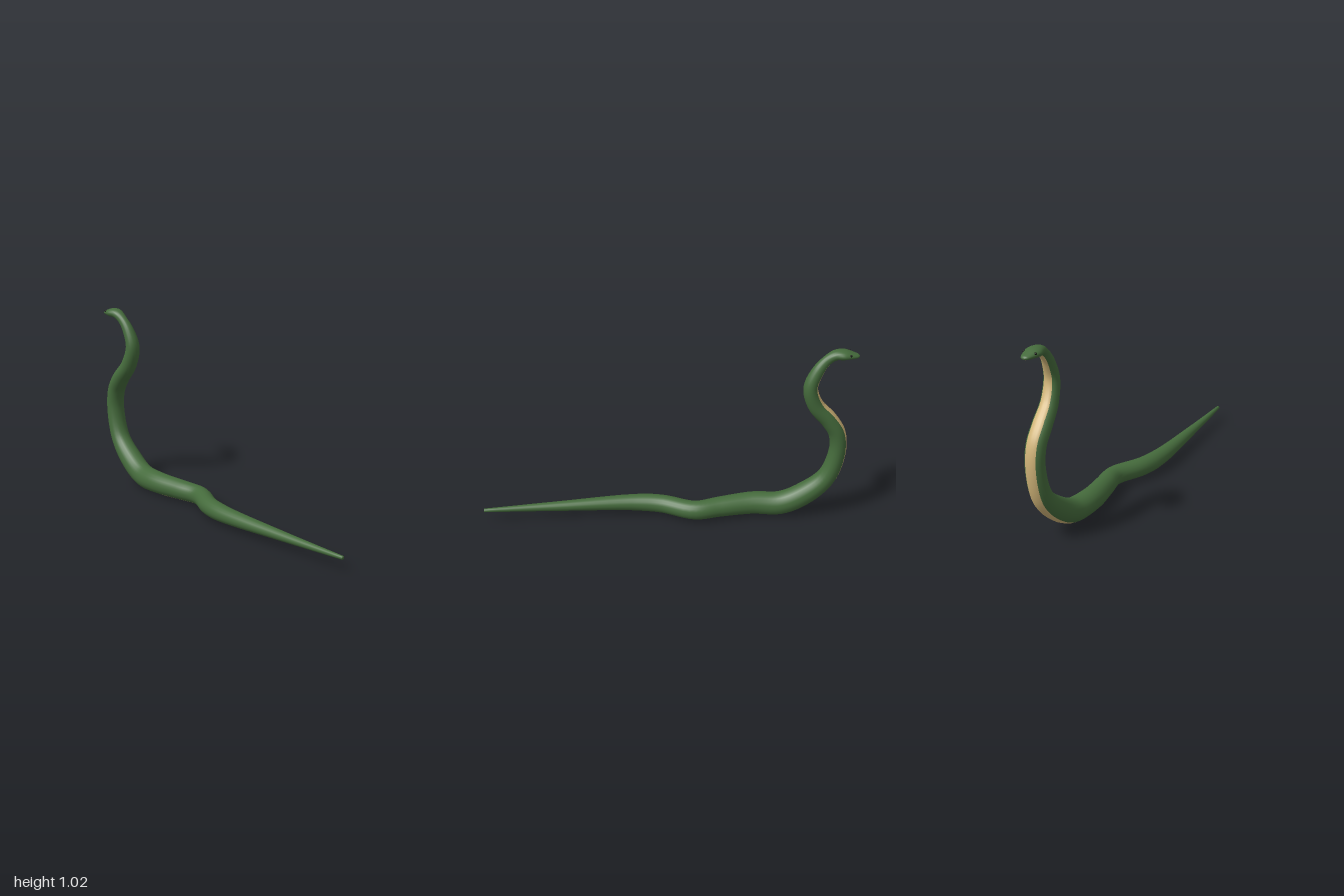
import * as THREE from 'three';

// Stations from tail to snout: centre x, y, z, half width, half height
const STATIONS = [
  [0.025, 0.073, 1.0, 0.01, 0.01],
  [-0.012, 0.07, 0.6, 0.028, 0.026],
  [-0.044, 0.068, 0.17, 0.047, 0.045],
  [-0.028, 0.067, 0.02, 0.05, 0.05],
  [0.037, 0.066, -0.16, 0.052, 0.052],
  [0.01, 0.069, -0.3, 0.056, 0.056],
  [-0.022, 0.071, -0.48, 0.062, 0.062],
  [-0.015, 0.075, -0.64, 0.063, 0.065],
  [-0.012, 0.145, -0.775, 0.062, 0.062],
  [-0.012, 0.25, -0.88, 0.055, 0.052],
  [-0.012, 0.42, -0.927, 0.052, 0.046],
  [-0.012, 0.53, -0.914, 0.052, 0.046],
  [-0.012, 0.61, -0.865, 0.052, 0.046],
  [-0.004, 0.7, -0.79, 0.046, 0.043],
  [0.003, 0.81, -0.755, 0.041, 0.038],
  [-0.003, 0.9, -0.785, 0.033, 0.033],
  [-0.012, 0.96, -0.83, 0.027, 0.027],
  [-0.017, 0.99, -0.875, 0.035, 0.026],
  [-0.018, 0.993, -0.92, 0.045, 0.025],
  [-0.018, 0.988, -0.965, 0.033, 0.016],
  [-0.018, 0.985, -0.99, 0.021, 0.01],
  [-0.018, 0.984, -1.0, 0.008, 0.004],
];
const SIDES = 20;          // around the body; index 0 is the middle of the back
const RINGS = 130;
const BELLY = [8, 12];     // sides from 8 up to 12 form the pale belly strip

export function createModel() {
  const group = new THREE.Group();
  const green = new THREE.MeshStandardMaterial({ color: 0x456b3c });
  const cream = new THREE.MeshStandardMaterial({ color: 0xd0b478 });
  const black = new THREE.MeshStandardMaterial({ color: 0x0c0c0a });

  const spine = new THREE.CatmullRomCurve3(
    STATIONS.map(([x, y, z]) => new THREE.Vector3(x, y, z)));
  const girth = new THREE.CatmullRomCurve3(
    STATIONS.map(([, , , w, h]) => new THREE.Vector3(w, h, 0)), false, 'catmullrom', 0.5);

  // Point on the skin, with a frame whose up side follows the back
  function skinPoint(t, angle) {
    const c = spine.getPoint(t), size = girth.getPoint(t);
    const tangent = spine.getTangent(t);
    const side = new THREE.Vector3(1, 0, 0).addScaledVector(tangent, -tangent.x).normalize();
    const up = side.clone().cross(tangent);
    return c.addScaledVector(side, Math.sin(angle) * size.x)
      .addScaledVector(up, Math.cos(angle) * size.y);
  }

  // Rings of skin; back and belly share the vertices so shading stays smooth
  const positions = [], back = [], belly = [];
  for (let i = 0; i <= RINGS; i++) {
    for (let j = 0; j < SIDES; j++) {
      positions.push(...skinPoint(i / RINGS, (j / SIDES) * Math.PI * 2).toArray());
    }
  }
  for (let i = 0; i < RINGS; i++) {
    for (let j = 0; j < SIDES; j++) {
      const k = (j + 1) % SIDES;
      const a = i * SIDES + j, b = i * SIDES + k, c = a + SIDES, d = b + SIDES;
      (j >= BELLY[0] && j < BELLY[1] ? belly : back).push(a, b, c, b, d, c);
    }
  }
  // Close the tail tip and the snout
  const tail = positions.length / 3, snout = tail + 1, last = RINGS * SIDES;
  positions.push(...spine.getPoint(0).toArray(), ...spine.getPoint(1).toArray());
  for (let j = 0; j < SIDES; j++) {
    const k = (j + 1) % SIDES;
    back.push(tail, k, j, snout, last + j, last + k);
  }

  const skin = new THREE.BufferGeometry();
  skin.setAttribute('position', new THREE.Float32BufferAttribute(positions, 3));
  skin.setIndex([...back, ...belly]);
  skin.computeVertexNormals();

  function addSkin(name, index, material) {
    const geometry = new THREE.BufferGeometry();
    geometry.setAttribute('position', skin.getAttribute('position'));
    geometry.setAttribute('normal', skin.getAttribute('normal'));
    geometry.setIndex(index);
    const mesh = new THREE.Mesh(geometry, material);
    mesh.name = name;
    group.add(mesh);
  }
  addSkin('back', back, green);
  addSkin('belly', belly, cream);

  // Eyes on the upper sides of the head
  const eyeT = 18.6 / (STATIONS.length - 1);
  for (const s of [-1, 1]) {
    const eye = new THREE.Mesh(new THREE.SphereGeometry(0.006, 12, 8), black);
    eye.name = s > 0 ? 'leftEye' : 'rightEye';
    eye.position.copy(skinPoint(eyeT, s * 1.05));
    group.add(eye);
  }
  return group;
}
